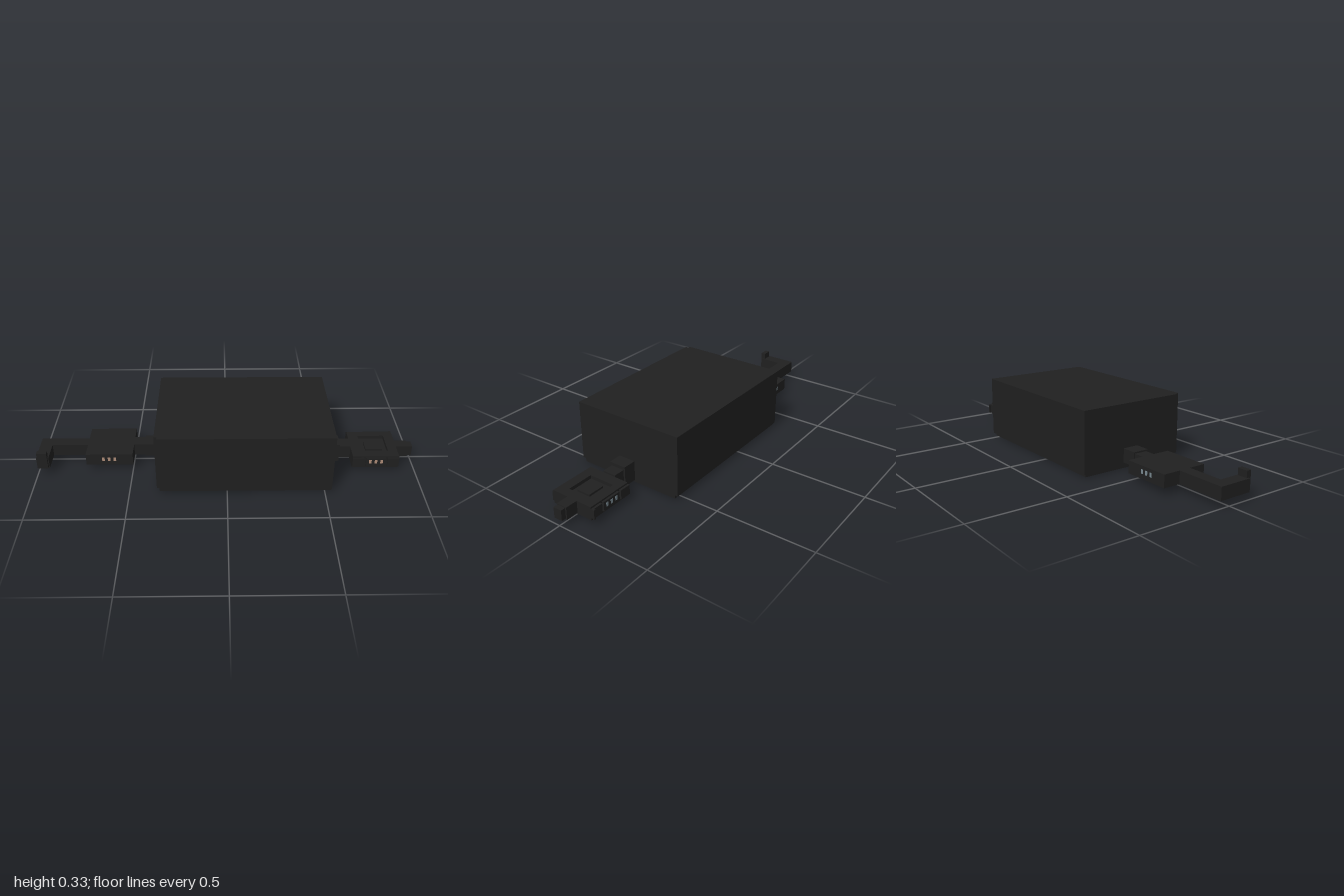
import * as THREE from 'three';

const dark = new THREE.MeshStandardMaterial({ color: 0x202020 });
const copper = new THREE.MeshStandardMaterial({ color: 0xb08d78 });
const steel = new THREE.MeshStandardMaterial({ color: 0x788890 });

// Box given by its extents on each axis
function block(parent, name, [x0, x1], [y0, y1], [z0, z1], material = dark) {
  const mesh = new THREE.Mesh(new THREE.BoxGeometry(x1 - x0, y1 - y0, z1 - z0), material);
  mesh.position.set((x0 + x1) / 2, (y0 + y1) / 2, (z0 + z1) / 2);
  mesh.name = name;
  parent.add(mesh);
  return mesh;
}

function rectangle(path, [x0, x1], [z0, z1]) {
  return path.moveTo(x0, -z1).lineTo(x1, -z1).lineTo(x1, -z0).lineTo(x0, -z0).closePath();
}

// Upright rectangular frame with a rectangular opening
function frame(parent, name, x, y, z, holeX, holeZ) {
  const shape = rectangle(new THREE.Shape(), x, z);
  shape.holes.push(rectangle(new THREE.Path(), holeX, holeZ));
  const geometry = new THREE.ExtrudeGeometry(shape, { depth: y[1] - y[0], bevelEnabled: false });
  geometry.rotateX(-Math.PI / 2);
  const mesh = new THREE.Mesh(geometry, dark);
  mesh.position.y = y[0];
  mesh.name = name;
  parent.add(mesh);
}

// Three contacts set into the front and back faces
function contacts(parent, centerX, y, front, back) {
  for (const dx of [-0.03, 0, 0.03]) {
    const x = [centerX + dx - 0.007, centerX + dx + 0.007];
    block(parent, 'frontContact', x, y, [front - 0.006, front + 0.001], copper);
    block(parent, 'backContact', x, y, [back - 0.001, back + 0.006], steel);
  }
}

function createHousing() {
  const group = new THREE.Group();
  group.name = 'housing';
  block(group, 'body', [-0.345, 0.535], [0.018, 0.334], [-0.302, 0.302]);
  block(group, 'endPlate', [-0.36, -0.345], [0.02, 0.334], [-0.302, 0.285]);
  block(group, 'base', [-0.345, 0.535], [0, 0.018], [-0.285, 0.285]);
  return group;
}

function createHookArm() {
  const group = new THREE.Group();
  group.name = 'hookArm';
  block(group, 'neckCollar', [-0.44, -0.36], [0.035, 0.108], [-0.065, 0.02]);
  block(group, 'neck', [-0.497, -0.44], [0.035, 0.1], [-0.06, 0.01]);
  // Joint block, open underneath
  frame(group, 'jointShell', [-0.745, -0.497], [0.035, 0.085], [-0.145, 0.1], [-0.69, -0.55], [-0.09, 0.045]);
  block(group, 'jointTop', [-0.745, -0.497], [0.085, 0.1], [-0.145, 0.1]);
  contacts(group, -0.623, [0.06, 0.082], 0.1, -0.145);
  block(group, 'arm', [-1, -0.745], [0.035, 0.1], [-0.052, 0.01]);
  // Hook turning forward, with an upright tip
  block(group, 'hook', [-1, -0.935], [0.035, 0.1], [0.01, 0.125]);
  block(group, 'hookTip', [-0.992, -0.94], [0.04, 0.135], [0.112, 0.137]);
  return group;
}

function createSocketArm() {
  const group = new THREE.Group();
  group.name = 'socketArm';
  block(group, 'neckCollar', [0.535, 0.605], [0.012, 0.117], [-0.042, 0.05]);
  block(group, 'neck', [0.605, 0.665], [0.03, 0.1], [-0.033, 0.04]);
  // Square socket with recesses above and below a central web
  frame(group, 'socketFrame', [0.665, 0.91], [0.022, 0.092], [-0.11, 0.122], [0.72, 0.86], [-0.07, 0.07]);
  block(group, 'socketWeb', [0.72, 0.86], [0.048, 0.074], [-0.07, 0.07]);
  block(group, 'socketInset', [0.745, 0.835], [0.074, 0.084], [-0.03, 0.045]);
  // Side bands split by two small gaps
  for (const x of [[0.665, 0.725], [0.735, 0.84], [0.85, 0.91]]) {
    block(group, 'frontBand', x, [0.034, 0.084], [0.122, 0.13]);
    block(group, 'backBand', x, [0.034, 0.084], [-0.122, -0.11]);
  }
  block(group, 'cornerPost', [0.902, 0.912], [0.034, 0.084], [-0.13, -0.122]);
  contacts(group, 0.788, [0.052, 0.074], 0.13, -0.122);
  block(group, 'tipBase', [0.91, 0.975], [0.028, 0.092], [-0.025, 0.033]);
  block(group, 'tip', [0.975, 1], [0.032, 0.088], [-0.018, 0.028]);
  return group;
}

export function createModel() {
  const model = new THREE.Group();
  model.name = 'linkedHousing';
  model.add(createHousing(), createHookArm(), createSocketArm());
  return model;
}
